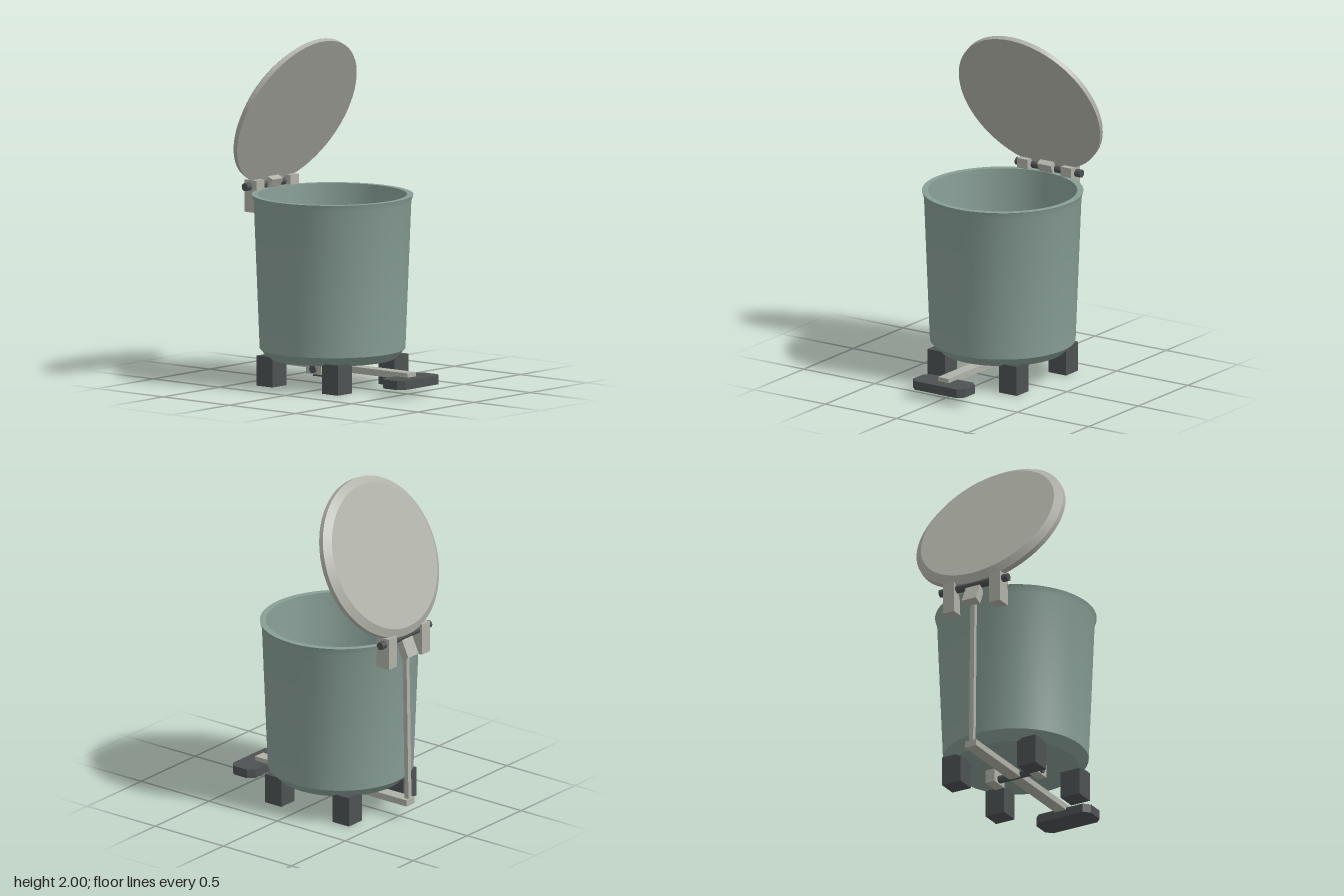
import * as THREE from 'three';
import { toCreasedNormals } from 'three/addons/utils/BufferGeometryUtils.js';

export function createModel() {
  const group = new THREE.Group();
  const makeMaterial = (name, color) => {
    const m = new THREE.MeshStandardMaterial({ color });
    m.name = name;
    return m;
  };
  const enamel = makeMaterial('green enamel', 0x889e96);
  const metal = makeMaterial('light metal', 0xb0b1a7);
  const rubber = makeMaterial('dark rubber', 0x4e5253);

  const add = (name, geometry, material, x = 0, y = 0, z = 0, parent = group) => {
    const mesh = new THREE.Mesh(geometry, material);
    mesh.name = name;
    mesh.position.set(x, y, z);
    parent.add(mesh);
    return mesh;
  };
  const box = (w, h, d) => new THREE.BoxGeometry(w, h, d);
  const turned = (points) => toCreasedNormals(
    new THREE.LatheGeometry(points.map(([r, y]) => new THREE.Vector2(r, y)), 64), 0.35);
  const pin = (radius, length) => new THREE.CylinderGeometry(radius, radius, length, 20).rotateZ(Math.PI / 2);

  const binZ = -0.07, hingeY = 1.13, hingeZ = -0.54;

  // Hollow bucket: outside from the base up, over the rim, then down to the floor
  add('bucket', turned([
    [0, 0.16], [0.365, 0.16], [0.42, 0.215], [0.454, 1.07], [0.466, 1.11],
    [0.43, 1.11], [0.386, 0.215], [0, 0.215],
  ]), enamel, 0, 0, binZ);

  // Feet, hinge brackets and pedal brackets come in mirrored pairs
  for (const side of [-1, 1]) {
    for (const end of [-1, 1]) {
      add('foot', box(0.124, 0.175, 0.12), rubber, side * 0.251, 0.0875, binZ + end * 0.248);
    }
    add('hingeBracket', box(0.074, 0.187, 0.09), metal, side * 0.153, 1.0735, -0.53);
    add('pedalBracket', box(0.06, 0.085, 0.112), metal, side * 0.14, 0.1225, binZ);
  }

  // Pins
  add('hingePin', pin(0.023, 0.456), rubber, 0, hingeY, hingeZ);
  add('pedalPin', pin(0.023, 0.36), rubber, 0, 0.11, binZ);

  // Lid and its lever, swung open around the hinge
  const lid = new THREE.Group();
  lid.name = 'lidAssembly';
  lid.position.set(0, hingeY, hingeZ);
  lid.rotation.x = -THREE.MathUtils.degToRad(65);
  group.add(lid);
  add('lid', turned([
    [0, 0], [0.476, 0], [0.476, 0.03], [0.432, 0.06], [0, 0.06],
  ]), metal, 0, 0, 0.475, lid);
  add('lidLever', box(0.095, 0.052, 0.18), metal, 0, -0.014, -0.04, lid);

  // Push rod between the pedal arm and the lid lever
  const rodTop = new THREE.Vector3(0, 1.03, -0.55);
  const rodFoot = new THREE.Vector3(0, 0.11, -0.566);
  const rodLength = rodTop.distanceTo(rodFoot);
  const rod = add('pushRod', box(0.028, rodLength, 0.028), metal);
  rod.position.copy(rodTop).add(rodFoot).multiplyScalar(0.5);
  rod.rotation.x = Math.atan2(rodTop.z - rodFoot.z, rodTop.y - rodFoot.y);

  // Pedal arm under the base
  add('pedalArm', box(0.074, 0.038, 1.115), metal, 0, 0.108, -0.0275);

  // Foot pedal with cut corners
  const w = 0.182, d = 0.084, c = 0.035;
  const outline = [
    [w, d - c], [w - c, d], [c - w, d], [-w, d - c],
    [-w, c - d], [c - w, -d], [w - c, -d], [w, c - d],
  ].map(([x, y]) => new THREE.Vector2(x, y));
  const pedal = new THREE.ExtrudeGeometry(new THREE.Shape(outline), { depth: 0.052, bevelEnabled: false });
  add('pedal', pedal.rotateX(-Math.PI / 2), rubber, 0, 0.05, 0.522);

  return group;
}
